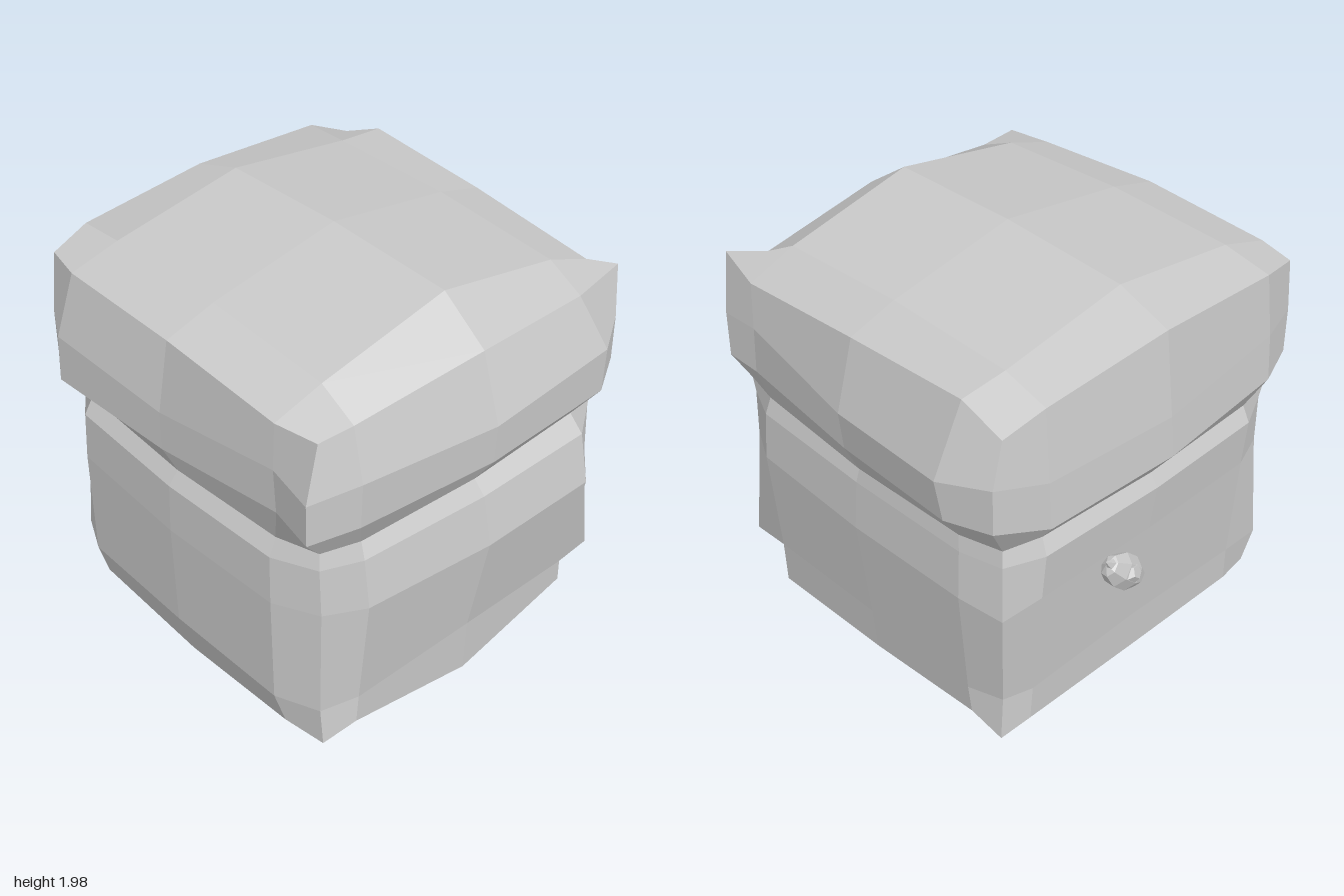
import * as THREE from 'three';

const grey = new THREE.MeshStandardMaterial({ color: 0xc8c8c8 });
grey.name = 'plain grey';

// Each level: y, sag of side middles, half-width at corners, then how far the
// middle of each side reaches (left -x, right +x, front, back) and how much
// the sides skew outwards: left and right towards the back, front and back towards +x
const levels = [
  { y: 0.1, sag: 0, corner: [0.83, 0.83], mid: [0.86, 0.82, 0.87, 0.81], skew: [0, 0, 0, 0] },
  { y: 0.28, sag: -0.02, corner: [0.82, 0.82], mid: [0.93, 0.84, 0.88, 0.82], skew: [0, 0, 0, 0] },
  { y: 0.83, sag: 0, corner: [0.81, 0.82], mid: [0.94, 0.9, 0.98, 0.87], skew: [0, 0, 0.03, 0] },
  { y: 1.07, sag: 0, corner: [0.81, 0.81], mid: [0.93, 0.88, 0.93, 0.9], skew: [0, 0, 0.02, 0] },
  { y: 1.15, sag: 0.02, corner: [0.8, 0.8], mid: [0.88, 0.86, 0.87, 0.86], skew: [0, 0.01, 0, 0] },
  { y: 1.3, sag: 0.02, corner: [0.88, 0.83], mid: [0.95, 0.93, 0.97, 0.97], skew: [0.06, 0.04, 0.02, 0.02] },
  { y: 1.52, sag: 0.05, corner: [0.88, 0.83], mid: [0.95, 0.95, 0.98, 0.95], skew: [0.05, 0.065, 0.02, 0.02] },
  { y: 1.76, sag: 0, corner: [0.84, 0.84], mid: [0.89, 0.86, 0.88, 0.9], skew: [0, 0, 0, 0] },
];
const bottomHeights = [0.13, 0.13, 0.02, 0.16, 0.15, 0.05, 0.07, 0.13, 0.07, 0.1, 0.09, 0.1, 0.1, 0.1, 0.07, 0.1];
const topHeights = [1.75, 1.74, 1.79, 1.73, 1.81, 1.74, 1.8, 1.84, 1.75, 1.83, 1.87, 1.83, 1.79, 1.79, 1.8, 1.75];

// Sixteen points around a level, from the front left corner towards +x
function ring({ y, sag, corner: [cx, cz], mid: [l, r, f, b], skew: [sl, sr, sf, sb] }) {
  const along = [-1, -0.65 / 0.83, 0, 0.63 / 0.83];
  const swell = [0, 0.78, 1, 0.78];
  const lean = [0, -1, 0, 1];
  const pts = [];
  for (let side = 0; side < 4; side++) {
    for (let k = 0; k < 4; k++) {
      const t = along[k], py = k === 2 ? y - sag : y;
      const reach = (c, m, s) => c + (m - c) * swell[k] + s * lean[k];
      if (side === 0) pts.push([t * cx, py, reach(cz, f, sf)]);
      if (side === 1) pts.push([reach(cx, r, sr), py, -t * cz]);
      if (side === 2) pts.push([-t * cx, py, -reach(cz, b, -sb)]);
      if (side === 3) pts.push([-reach(cx, l, -sl), py, t * cz]);
    }
  }
  return pts;
}

// Closes a ring with a five by five patch; inner heights run from back to front
function capPoint(border, inner, i, j) {
  if (j === 4) return border[i];
  if (i === 4) return border[8 - j];
  if (j === 0) return border[12 - i];
  if (i === 0) return border[12 + j];
  return [[-0.65, 0, 0.63][i - 1], inner[j - 1][i - 1], [-0.64, 0, 0.65][j - 1]];
}

// Faceted mesh with one flat normal for each four-sided face
function buildMesh(name, quads) {
  const pos = [], nor = [];
  for (const quad of quads) {
    const [a, b, c, d] = quad.map((p) => new THREE.Vector3(...p));
    const n = c.clone().sub(a).cross(d.clone().sub(b)).normalize();
    const order = a.distanceTo(c) < b.distanceTo(d) ? [a, b, c, a, c, d] : [a, b, d, b, c, d];
    for (const p of order) {
      pos.push(p.x, p.y, p.z);
      nor.push(n.x, n.y, n.z);
    }
  }
  const geo = new THREE.BufferGeometry();
  geo.setAttribute('position', new THREE.Float32BufferAttribute(pos, 3));
  geo.setAttribute('normal', new THREE.Float32BufferAttribute(nor, 3));
  const mesh = new THREE.Mesh(geo, grey);
  mesh.name = name;
  return mesh;
}

function wall(rings) {
  const quads = [];
  for (let i = 0; i + 1 < rings.length; i++) {
    for (let k = 0; k < 16; k++) {
      const n = (k + 1) % 16;
      quads.push([rings[i][k], rings[i][n], rings[i + 1][n], rings[i + 1][k]]);
    }
  }
  return quads;
}

function cap(border, inner, up) {
  const quads = [];
  const p = (i, j) => capPoint(border, inner, i, j);
  for (let i = 0; i < 4; i++) {
    for (let j = 0; j < 4; j++) {
      const q = [p(i, j + 1), p(i + 1, j + 1), p(i + 1, j), p(i, j)];
      quads.push(up ? q : q.reverse());
    }
  }
  return quads;
}

// Faceted lump for the knob
function knobPart(name, geometry, position, scale) {
  const geo = geometry.index ? geometry.toNonIndexed() : geometry;
  geo.scale(...scale);
  geo.computeVertexNormals();
  const mesh = new THREE.Mesh(geo, grey);
  mesh.name = name;
  mesh.position.set(...position);
  return mesh;
}

export function createModel() {
  const model = new THREE.Group();
  model.name = 'lumpyBox';

  const rings = levels.map(ring);
  const top = rings[7];
  rings[0].forEach((p, k) => { p[1] = bottomHeights[k]; });
  top.forEach((p, k) => { p[1] = topHeights[k]; });

  // Uneven corners of the body, the front right one dented in at the bottom
  rings[0][0] = [-0.84, 0.13, 0.86];
  rings[0][4] = [0.75, 0.15, 0.76];
  rings[0][8] = [0.81, 0.08, -0.8];
  rings[0][12] = [-0.79, 0.1, -0.79];
  rings[1][4] = [0.83, 0.26, 0.84];
  rings[1][8] = [0.78, 0.28, -0.78];
  rings[2][4] = [0.79, 0.83, 0.81];
  rings[2][8] = [0.85, 0.83, -0.85];
  rings[2][12] = [-0.79, 0.83, -0.79];
  rings[3][4] = [0.79, 1.07, 0.8];
  rings[3][12] = [-0.79, 1.07, -0.79];
  // Uneven corners and front edge of the lid
  rings[5][0] = [-0.92, 1.3, 0.86];
  rings[6][0] = [-0.92, 1.5, 0.86];
  top[1][2] = 0.84;
  top[3][2] = 0.82;

  // Bottom part with the narrow neck
  const floor = [[0.1, 0.07, 0.1], [0.04, 0.03, 0.05], [0.02, 0.02, 0.0]];
  model.add(buildMesh('body', [...wall(rings.slice(0, 5)), ...cap(rings[0], floor, false)]));

  // Overhanging lid with a low crown
  const crown = [[1.86, 1.96, 1.86], [1.87, 1.98, 1.87], [1.83, 1.96, 1.83]];
  model.add(buildMesh('lid', [...wall(rings.slice(4)), ...cap(top, crown, true)]));

  // Small slanted knob on the back
  const knob = new THREE.Group();
  knob.name = 'knob';
  knob.add(
    knobPart('knobLump', new THREE.SphereGeometry(1, 7, 5), [0, -0.02, 0], [0.085, 0.15, 0.065]),
    knobPart('knobHook', new THREE.ConeGeometry(0.06, 0.13, 5), [-0.01, 0.1, -0.01], [1, 1, 0.7]),
    knobPart('knobLip', new THREE.DodecahedronGeometry(0.05), [-0.01, -0.02, -0.03], [1, 1.2, 1]),
  );
  knob.position.set(0.2, 0.73, -0.895);
  knob.rotation.z = -0.8;
  model.add(knob);

  return model;
}
